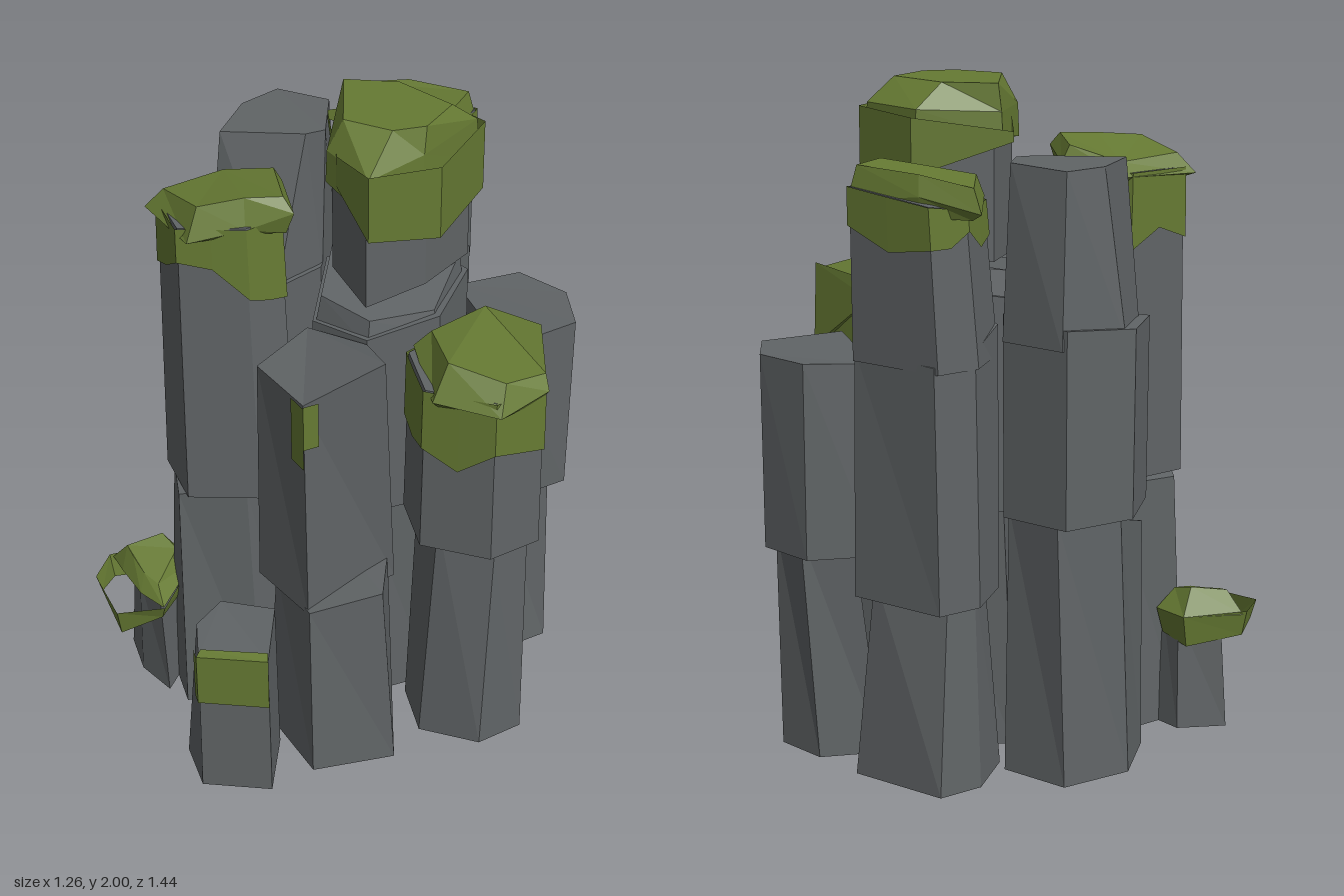
import * as THREE from 'three';

const rock = new THREE.MeshStandardMaterial({ color: 0x606466, flatShading: true, side: THREE.DoubleSide });
rock.name = 'grey rock';
const moss = new THREE.MeshStandardMaterial({ color: 0x667a33, flatShading: true, side: THREE.DoubleSide });
moss.name = 'green moss';

// Ring at height y (number or one per corner) from an [x, z] outline; scaled and turned about its middle
function ring(outline, y, scale = 1, turn = 0, dx = 0, dz = 0) {
  const n = outline.length;
  const cx = outline.reduce((s, p) => s + p[0], 0) / n;
  const cz = outline.reduce((s, p) => s + p[1], 0) / n;
  const c = Math.cos(turn) * scale, s = Math.sin(turn) * scale;
  return outline.map(([x, z], i) => new THREE.Vector3(
    cx + dx + (x - cx) * c - (z - cz) * s,
    Array.isArray(y) ? y[i] : y,
    cz + dz + (x - cx) * s + (z - cz) * c));
}

// Skin through rings ordered bottom to top, open below; outlines run clockwise seen from above
function loft(name, rings, material, top = true) {
  const pos = [];
  const tri = (a, b, c) => [a, b, c].forEach(p => pos.push(p.x, p.y, p.z));
  const n = rings[0].length;
  for (let r = 0; r < rings.length - 1; r++) {
    for (let i = 0; i < n; i++) {
      const j = (i + 1) % n, lo = rings[r], hi = rings[r + 1];
      tri(lo[i], hi[j], lo[j]);
      tri(lo[i], hi[i], hi[j]);
    }
  }
  const last = rings[rings.length - 1];
  for (let i = 1; top && i < n - 1; i++) tri(last[0], last[i + 1], last[i]);
  const g = new THREE.BufferGeometry();
  g.setAttribute('position', new THREE.Float32BufferAttribute(pos, 3));
  g.computeVertexNormals();
  const mesh = new THREE.Mesh(g, material);
  mesh.name = name;
  return mesh;
}

// Mossy band hugging the top of a block, with a ragged lower edge
function band(name, lo, hi, depths) {
  const n = lo.length, low = [], high = [];
  const mid = new THREE.Vector3();
  hi.forEach(p => mid.addScaledVector(p, 1 / n));
  const out = p => {
    const d = new THREE.Vector3(p.x - mid.x, 0, p.z - mid.z).normalize();
    return p.clone().addScaledVector(d, 0.008);
  };
  for (let i = 0; i < n; i++) {
    for (const t of [0, 0.5]) {
      const j = (i + 1) % n;
      const a = lo[i].clone().lerp(lo[j], t), b = hi[i].clone().lerp(hi[j], t);
      const y = depths[low.length % depths.length];
      low.push(out(a.lerp(b, (y - a.y) / (b.y - a.y))));
      high.push(out(b));
    }
  }
  return loft(name, [low, high], moss, false);
}

// Flat patch on a wall between two [x, z] points
function patch(name, a, b, y0, y1) {
  const g = new THREE.BufferGeometry();
  g.setAttribute('position', new THREE.Float32BufferAttribute([
    a[0], y0, a[1], b[0], y0, b[1], b[0], y1, b[1],
    a[0], y0, a[1], b[0], y1, b[1], a[0], y1, a[1]], 3));
  g.computeVertexNormals();
  const mesh = new THREE.Mesh(g, moss);
  mesh.name = name;
  return mesh;
}

export function createModel() {
  const model = new THREE.Group();
  model.name = 'rockPillars';
  const pillar = (name, ...parts) => {
    const group = new THREE.Group();
    group.name = name;
    group.add(...parts);
    model.add(group);
  };
  const block = (name, lo, hi) => loft(name, [lo, hi], rock);

  // Right-hand pillar in three blocks, bare
  const a = [[-0.6, -0.24], [-0.38, -0.29], [-0.27, -0.13], [-0.28, 0.06], [-0.49, 0.17], [-0.63, -0.01]];
  const aTop = [[-0.57, -0.22], [-0.4, -0.28], [-0.28, -0.16], [-0.3, -0.1], [-0.48, 0.08], [-0.57, -0.08]];
  pillar('sidePillar',
    block('lowerBlock', ring(a, 0, 0.97), ring(a, [0.8, 0.8, 0.74, 0.7, 0.72, 0.78], 0.87, 0.14)),
    block('middleBlock', ring(a, 0.78, 0.99), ring(a, [1.36, 1.38, 1.34, 1.33, 1.33, 1.34])),
    block('upperBlock', ring(a, 1.3, 0.93, 0, 0, -0.02), ring(aTop, [1.8, 1.81, 1.8, 1.8, 1.8, 1.8])));

  // Tall back pillar
  const b = [[-0.43, -0.56], [-0.13, -0.64], [-0.08, -0.5], [-0.17, -0.28], [-0.33, -0.26], [-0.44, -0.42]];
  const bCap = [[-0.51, -0.47], [-0.36, -0.57], [-0.14, -0.65], [-0.08, -0.51], [-0.2, -0.4], [-0.36, -0.34]];
  const bLo = ring(b, 1.25, 0.97), bHi = ring(b, [1.72, 1.75, 1.74, 1.72, 1.7, 1.7], 0.88, 0, 0, -0.03);
  pillar('tallBackPillar',
    block('lowerBlock', ring(b, 0, 1), ring(b, [0.58, 0.62, 0.72, 0.74, 0.7, 0.6], 0.76, -0.16)),
    block('middleBlock', ring(b, 0.55, 0.99), ring(b, [1.27, 1.28, 1.33, 1.37, 1.34, 1.3], 0.95, 0.06)),
    block('upperBlock', bLo, bHi),
    band('mossBand', bLo, bHi, [1.6, 1.58, 1.64, 1.6]),
    loft('mossCap', [ring(bCap, 1.68, 0.85), ring(bCap, [1.7, 1.74, 1.71, 1.7, 1.66, 1.72]),
      ring(bCap, [1.77, 1.8, 1.81, 1.81, 1.79, 1.78], 0.87)], moss));

  // Shorter back pillar, bare
  const d = [[-0.08, -0.51], [0.02, -0.7], [0.21, -0.72], [0.35, -0.61], [0.29, -0.34]];
  pillar('shortBackPillar',
    block('lowerBlock', ring(d, 0, 0.88, 0, 0, 0.03), ring(d, [0.66, 0.7, 0.68, 0.72, 0.7], 0.74, 0.18)),
    block('upperBlock', ring(d, 0.63, 0.98), ring(d, [1.21, 1.22, 1.22, 1.22, 1.22], 0.95, -0.04, 0, -0.01)));

  // Highest pillar, in the middle
  const e = [[-0.26, -0.14], [-0.08, -0.37], [0.14, -0.36], [0.24, -0.15], [0.16, 0.07], [-0.04, 0.11]];
  const eUp = [[-0.18, -0.16], [-0.06, -0.35], [0.13, -0.36], [0.17, -0.15], [0.15, 0.065], [-0.08, -0.01]];
  const eSkirt = [[-0.27, -0.16], [-0.09, -0.39], [0.15, -0.395], [0.26, -0.12], [0.17, 0.075], [0.02, 0.06]];
  const eCap = [[-0.22, -0.16], [-0.085, -0.37], [0.14, -0.38], [0.18, -0.13], [0.16, 0.07], [-0.04, 0.05]];
  const eTop = [[-0.2, -0.16], [-0.08, -0.27], [0.12, -0.29], [0.165, -0.15], [0.12, -0.06], [-0.02, 0]];
  pillar('centrePillar',
    block('lowerBlock', ring(e, 0, 0.95), ring(e, 0.78, 0.9, 0.1)),
    block('middleBlock', ring(e, 0.74), ring(e, [1.38, 1.42, 1.43, 1.4, 1.37, 1.36], 0.98)),
    block('neckBlock', ring(e, 1.34, 0.95), ring(e, [1.46, 1.48, 1.49, 1.41, 1.42, 1.44], 0.87)),
    block('upperBlock', ring(eUp, 1.48), ring(eUp, 1.88)),
    loft('mossSkirt', [ring(eSkirt, [1.84, 1.74, 1.7, 1.69, 1.71, 1.82]),
      ring(eSkirt, [1.87, 1.91, 1.92, 1.92, 1.92, 1.92])], moss, false),
    loft('mossCap', [ring(eCap, [1.85, 1.82, 1.8, 1.8, 1.78, 1.81]),
      ring(eCap, [1.92, 1.93, 1.93, 1.92, 1.9, 1.91], 0.98), ring(eTop, 2)], moss));

  // Left-hand pillar
  const f = [[0.23, -0.31], [0.44, -0.33], [0.62, -0.21], [0.59, -0.04], [0.4, 0.07], [0.22, -0.03]];
  const fCap = [[0.23, -0.31], [0.47, -0.345], [0.63, -0.21], [0.61, -0.04], [0.44, 0.07], [0.22, -0.06]];
  const fLo = ring(f, 0.76, 1), fHi = ring(f, 1.32, 0.96);
  pillar('leftPillar',
    block('lowerBlock', ring(f, 0, 0.9, 0, -0.01), ring(f, [0.8, 0.76, 0.72, 0.74, 0.84, 0.8], 0.78, -0.15)),
    block('upperBlock', fLo, fHi),
    band('mossBand', fLo, fHi, [1.14, 1.06, 1.12, 1.09, 1.1, 1.12]),
    loft('mossCap', [ring(fCap, 1.27, 0.87), ring(fCap, [1.32, 1.14, 1.31, 1.28, 1.3, 1.33]),
      ring(fCap, [1.38, 1.4, 1.35, 1.37, 1.41, 1.38], 0.84, 0, 0, -0.025)], moss));

  // Tall front pillar
  const c = [[-0.38, 0.17], [-0.21, 0.08], [-0.03, 0.18], [-0.06, 0.32], [-0.2, 0.51], [-0.39, 0.42]];
  const cUp = [[-0.38, 0.18], [-0.21, 0.1], [-0.03, 0.18], [-0.05, 0.31], [-0.2, 0.47], [-0.39, 0.4]];
  const cCap = [[-0.39, 0.16], [-0.21, 0.07], [-0.015, 0.19], [-0.1, 0.3], [-0.18, 0.45], [-0.41, 0.42]];
  const cLo = ring(cUp, 0.8), cHi = ring(cUp, 1.73, 0.88, 0, -0.025);
  pillar('tallFrontPillar',
    block('lowerBlock', ring(c, 0, 1), ring(c, [0.78, 0.8, 0.82, 0.82, 0.8, 0.78], 0.88, 0.15)),
    block('upperBlock', cLo, cHi),
    band('mossBand', cLo, cHi, [1.5, 1.58, 1.46, 1.54, 1.47, 1.48, 1.5, 1.6, 1.62, 1.56, 1.52, 1.56]),
    loft('mossCap', [ring(cCap, 1.7, 0.88), ring(cCap, [1.72, 1.75, 1.77, 1.72, 1.7, 1.71]),
      ring(cCap, [1.76, 1.8, 1.81, 1.81, 1.8, 1.77], 0.8, 0, 0, -0.01)], moss));

  // Front pillar with a slanted top
  const g = [[-0.03, 0.11], [0.27, 0.05], [0.43, 0.19], [0.31, 0.42], [0.02, 0.36]];
  const gLo = [[-0.03, 0.14], [0.18, 0.05], [0.29, 0.07], [0.26, 0.39], [0.01, 0.37]];
  const gUp = [[-0.045, 0.12], [0.16, 0.07], [0.335, 0.155], [0.26, 0.4], [0.01, 0.36]];
  pillar('slantedPillar',
    block('lowerBlock', ring(g, 0), ring(g, [0.64, 0.66, 0.65, 0.6, 0.58], 0.85, 0.1)),
    block('upperBlock', ring(gLo, 0.58), ring(gUp, [1.34, 1.36, 1.42, 1.35, 1.34])),
    patch('mossPatchFront', [0.2, 0.395], [0.267, 0.406], 1.13, 1.345),
    patch('mossPatchSide', [0.267, 0.406], [0.28, 0.36], 1.2, 1.35));

  // Small front stump
  const h = [[-0.03, 0.49], [0.14, 0.41], [0.29, 0.57], [0.13, 0.715], [-0.02, 0.65]];
  const hTop = [[-0.02, 0.5], [0.14, 0.42], [0.285, 0.57], [0.13, 0.71], [0.01, 0.62]];
  const hEdge = [[0.115, 0.69], [0.265, 0.553], [0.29, 0.575], [0.132, 0.72]];
  pillar('frontStump',
    block('stump', ring(h, 0), ring(hTop, [0.52, 0.545, 0.515, 0.515, 0.515])),
    patch('mossPatchSide', [0.132, 0.72], [0.292, 0.575], 0.34, 0.52),
    patch('mossPatchFront', [0.1, 0.705], [0.132, 0.72], 0.34, 0.52),
    loft('mossEdge', [ring(hEdge, 0.515), ring(hEdge, [0.523, 0.526, 0.52, 0.52])], moss));

  // Small stump with a moss cap and a loose moss fringe
  const k = [[-0.55, 0.46], [-0.47, 0.33], [-0.38, 0.33], [-0.28, 0.52], [-0.42, 0.52]];
  const kFringe = [[-0.58, 0.51], [-0.5, 0.32], [-0.38, 0.32], [-0.27, 0.53], [-0.36, 0.65], [-0.52, 0.61]];
  const kCap = [[-0.575, 0.5], [-0.5, 0.32], [-0.38, 0.32], [-0.275, 0.53], [-0.38, 0.54], [-0.5, 0.52]];
  pillar('mossyStump',
    block('stump', ring(k, 0), ring(k, 0.36, 0.85, 0.1)),
    loft('mossFringe', [ring(kFringe, [0.29, 0.27, 0.29, 0.3, 0.245, 0.31], 0.88),
      ring(kFringe, [0.37, 0.37, 0.37, 0.35, 0.34, 0.37])], moss, false),
    loft('mossCap', [ring(kCap, [0.36, 0.37, 0.37, 0.35, 0.35, 0.36]),
      ring(kCap, [0.43, 0.45, 0.43, 0.39, 0.4, 0.42], 0.6)], moss));

  return model;
}
